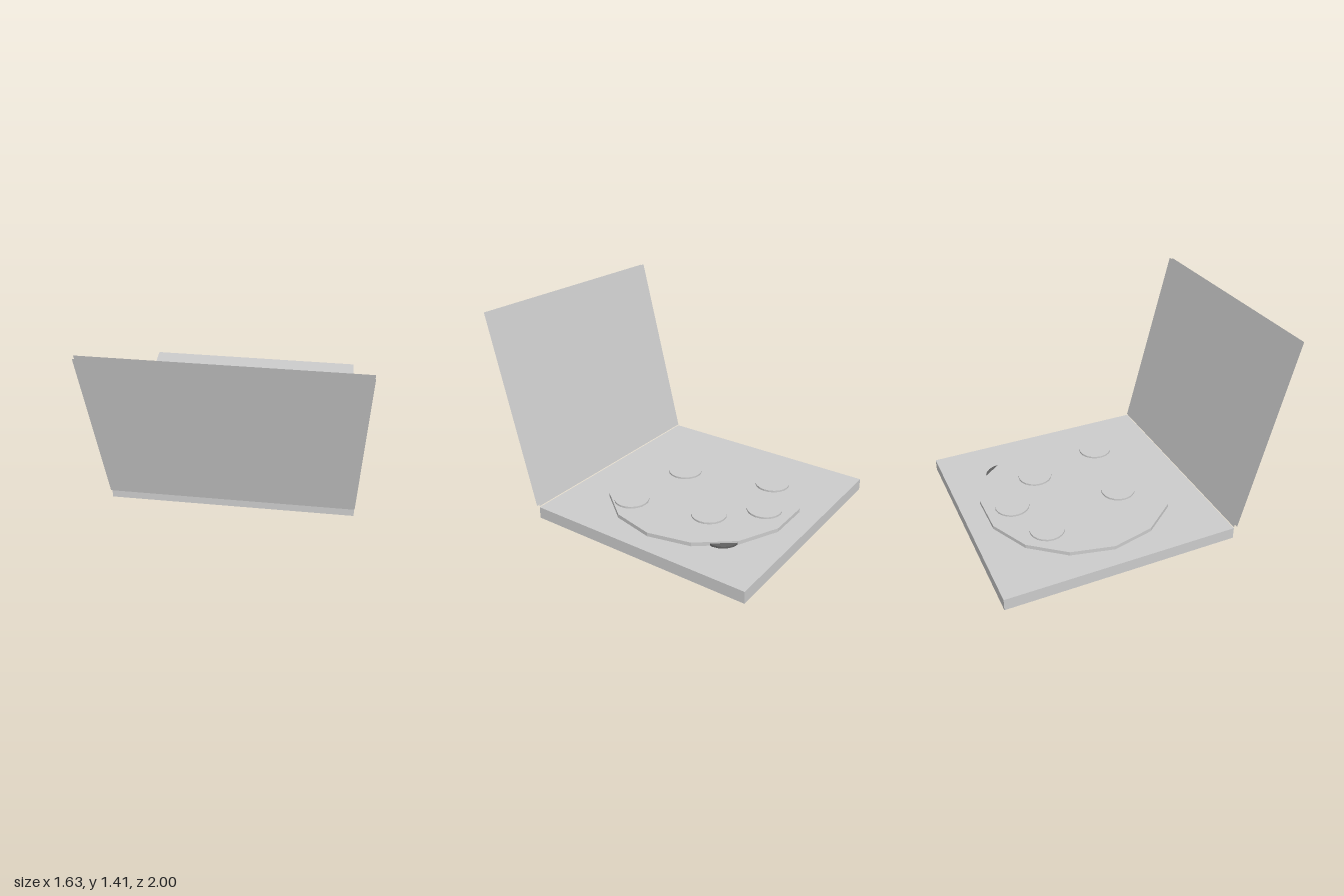
import * as THREE from 'three';

export function createModel() {
  const model = new THREE.Group();
  const grey = new THREE.MeshStandardMaterial({ color: 0xcccccc, flatShading: true, side: THREE.DoubleSide });
  grey.name = 'light grey';
  const dark = new THREE.MeshStandardMaterial({ color: 0x606060, flatShading: true });
  dark.name = 'dark grey';

  const add = (name, geometry, x, y, z, material = grey) => {
    const mesh = new THREE.Mesh(geometry, material);
    mesh.name = name;
    mesh.position.set(x, y, z);
    model.add(mesh);
    return mesh;
  };

  // Square tray of the open box
  const width = 1.635, baseHeight = 0.083, hingeZ = 0.637;
  add('boxBase', new THREE.BoxGeometry(width, baseHeight, width), 0, baseHeight / 2, hingeZ - width / 2);

  // Leaning lid: two parallel sheets with open edges
  const tilt = Math.atan2(0.338, 1.318), length = 1.361;
  const lid = new THREE.Group();
  lid.name = 'lid';
  lid.position.set(0, 0.091, hingeZ);
  lid.rotation.x = tilt;
  for (const [name, z, turn] of [['lidInside', 0, Math.PI], ['lidOutside', 0.026, 0]]) {
    const sheet = new THREE.Mesh(new THREE.PlaneGeometry(width, length), grey);
    sheet.name = name;
    sheet.position.set(0, length / 2, z);
    sheet.rotation.y = turn;
    lid.add(sheet);
  }
  model.add(lid);

  // Fourteen-sided pizza with a corner on each side
  const pizza = add('pizza', new THREE.CylinderGeometry(0.68, 0.68, 0.027, 14), 0, baseHeight + 0.0135, -0.185);
  pizza.rotation.y = Math.PI / 2;

  // Round toppings
  const spots = [[-0.34, -0.53], [0, -0.66], [0.27, -0.39], [-0.14, 0.09], [0.41, 0.155]];
  const slice = new THREE.CylinderGeometry(0.12, 0.12, 0.016, 20);
  for (const [x, z] of spots) add('topping', slice, x, 0.115, z);

  // Topping slipping over the rim, mostly sunk in the pizza
  const loose = add('slippedTopping', slice, 0.42, 0.094, -0.593, dark);
  loose.quaternion.setFromAxisAngle(new THREE.Vector3(-1, 0, -1).normalize(), 0.05);

  return model;
}
